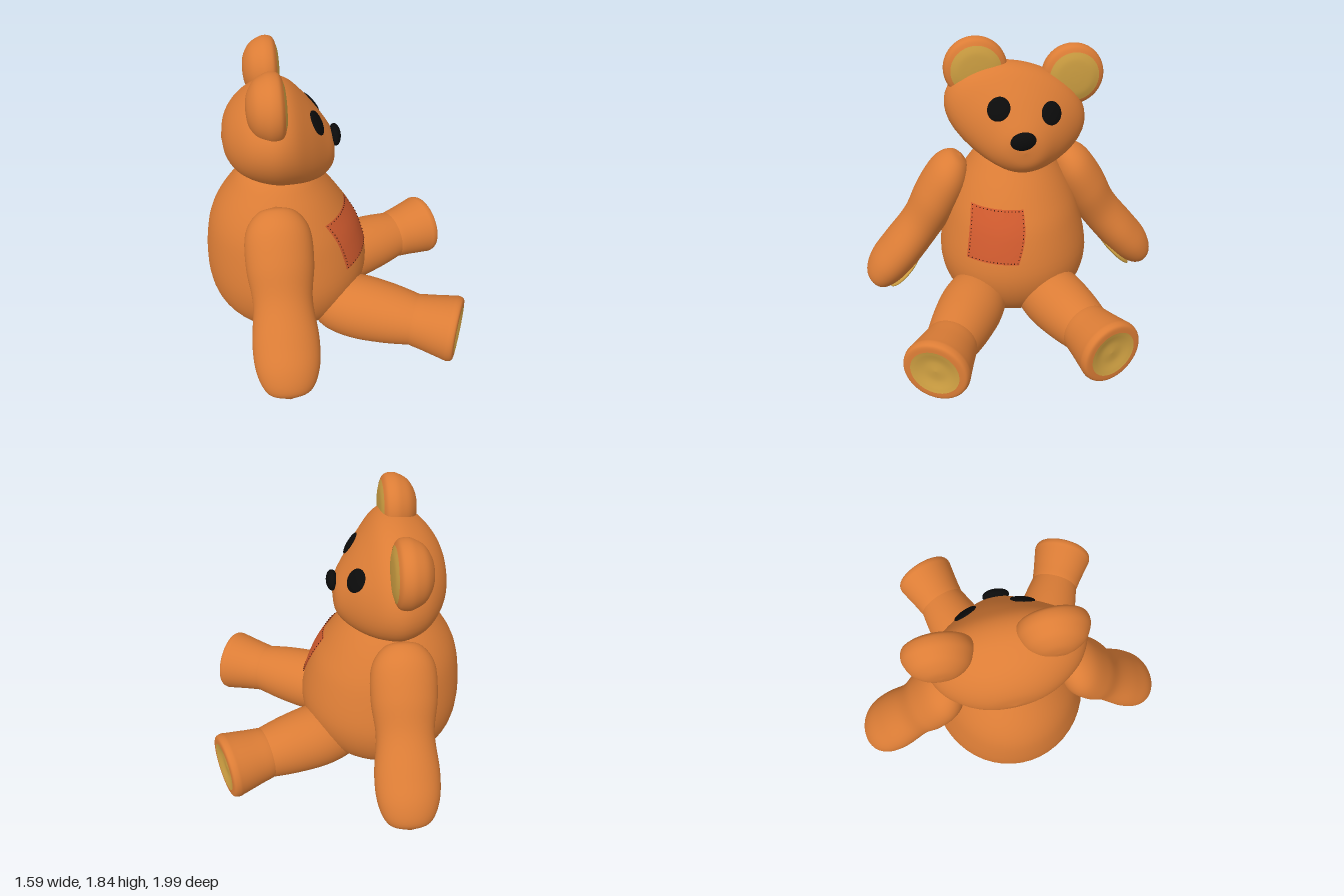
import * as THREE from 'three';

const mat = (color) => new THREE.MeshStandardMaterial({ color, roughness: 0.8, side: THREE.DoubleSide });
const V = (x, y, z) => new THREE.Vector3(x, y, z);

function add(parent, name, geometry, material) {
  const mesh = new THREE.Mesh(geometry, material);
  mesh.name = name;
  parent.add(mesh);
  return mesh;
}

// Smooth skin over elliptical sections [x, y, z, radius along u, radius along v]; u x v points along the path
function loft(rows, u, v, steps = 48, sides = 48) {
  const smooth = (pts) => new THREE.CatmullRomCurve3(pts, false, 'catmullrom', 0.5);
  const centre = smooth(rows.map((r) => V(r[0], r[1], r[2])));
  const radius = smooth(rows.map((r) => V(r[3], r[4], 0)));
  const pos = [], index = [];
  for (let i = 0; i <= steps; i++) {
    const c = centre.getPoint(i / steps), r = radius.getPoint(i / steps);
    for (let j = 0; j < sides; j++) {
      const a = (j / sides) * Math.PI * 2;
      const p = c.clone().addScaledVector(u, Math.max(r.x, 0) * Math.cos(a)).addScaledVector(v, Math.max(r.y, 0) * Math.sin(a));
      pos.push(p.x, p.y, p.z);
      if (i < steps) {
        const k = i * sides + j, n = i * sides + ((j + 1) % sides);
        index.push(k, n, k + sides, n, n + sides, k + sides);
      }
    }
  }
  const g = new THREE.BufferGeometry();
  g.setAttribute('position', new THREE.Float32BufferAttribute(pos, 3));
  g.setIndex(index);
  g.computeVertexNormals();
  return g;
}

// Turned part along +x from [radius, x] pairs
function turned(points, divisions = 28) {
  const curve = new THREE.SplineCurve(points.map((p) => new THREE.Vector2(p[0], p[1])));
  const profile = curve.getPoints(divisions).map((p) => p.setX(Math.max(p.x, 0)));
  return new THREE.LatheGeometry(profile, 48).rotateZ(-Math.PI / 2);
}

// Where a ray from the front meets a mesh
function surface(mesh, y, z) {
  mesh.updateMatrixWorld(true);
  return new THREE.Raycaster(V(3, y, z), V(-1, 0, 0)).intersectObject(mesh)[0];
}

export function createModel() {
  const bear = new THREE.Group();
  bear.name = 'teddyBear';
  const fur = mat(0xdc7d36), pad = mat(0xcfa042), black = mat(0x0b0b0b);
  const cloth = mat(0xcf5a2e), thread = mat(0x4a1c0c);
  const ball = new THREE.SphereGeometry(1, 32, 20);

  // Round body, a little narrower sideways
  const body = add(bear, 'body', loft([
    [-0.34, 0.005, 0, 0, 0], [-0.33, 0.03, 0, 0.18, 0.19], [-0.31, 0.1, 0, 0.34, 0.345],
    [-0.3, 0.25, 0, 0.45, 0.465], [-0.295, 0.45, 0, 0.485, 0.505], [-0.315, 0.7, 0, 0.435, 0.465],
    [-0.335, 0.87, 0, 0.375, 0.395], [-0.34, 1.03, 0, 0.28, 0.29], [-0.34, 1.15, 0, 0.17, 0.18],
    [-0.34, 1.2, 0, 0, 0],
  ], V(0, 0, 1), V(1, 0, 0)), fur);

  // Tilted head tapering into the muzzle
  const t = 0.3, s = Math.sin(t), c = Math.cos(t);
  const head = add(bear, 'head', loft([
    [-0.645, 1.34, -0.03, 0, 0], [-0.625, 1.345, -0.03, 0.11, 0.16], [-0.57, 1.35, -0.03, 0.2, 0.29],
    [-0.48, 1.36, -0.03, 0.265, 0.4], [-0.36, 1.365, -0.03, 0.305, 0.455], [-0.25, 1.35, -0.03, 0.3, 0.425],
    [-0.15, 1.3, -0.03, 0.255, 0.33], [-0.06, 1.25, -0.03, 0.185, 0.21], [0, 1.23, -0.03, 0.1, 0.11],
    [0.015, 1.23, -0.03, 0, 0],
  ], V(0, c, -s), V(0, s, c)), fur);

  // Ears with pale inner faces
  for (const [name, y, z] of [['leftEar', 1.65, 0.215], ['rightEar', 1.575, -0.39]]) {
    const ear = new THREE.Group();
    ear.name = name;
    ear.position.set(-0.39, y, z);
    add(ear, 'earShell', turned([[0, -0.105], [0.08, -0.095], [0.15, -0.055], [0.185, 0], [0.195, 0.04], [0.185, 0.08], [0.155, 0.1]]), fur);
    add(ear, 'earLining', turned([[0.157, 0.098], [0.11, 0.112], [0.05, 0.117], [0, 0.118]]), pad);
    bear.add(ear);
  }

  // Eyes lie on the face, nose on the tip of the muzzle
  for (const [name, y, z] of [['leftEye', 1.475, 0.11], ['rightEye', 1.425, -0.21]]) {
    const eye = add(bear, name, ball, black), hit = surface(head, y, z);
    eye.position.copy(hit.point);
    eye.quaternion.setFromUnitVectors(V(0, 0, 1), hit.face.normal);
    eye.scale.set(0.068, 0.075, 0.016);
  }
  const nose = add(bear, 'nose', ball, black);
  nose.position.set(0.016, 1.308, -0.018);
  nose.rotation.x = 0.12;
  nose.scale.set(0.035, 0.057, 0.078);

  // Arms hang outwards, pads on the inside of the paws
  const armGeometry = loft([
    [0, 1.07, 0.32, 0, 0], [0, 1.045, 0.34, 0.11, 0.08], [0, 0.95, 0.4, 0.185, 0.14],
    [0, 0.78, 0.5, 0.195, 0.155], [0, 0.6, 0.605, 0.172, 0.14], [0, 0.42, 0.745, 0.193, 0.14],
    [0, 0.29, 0.855, 0.18, 0.13], [0, 0.195, 0.93, 0.12, 0.085], [0, 0.165, 0.955, 0, 0],
  ], V(1, 0, 0), V(0, 0.67, 0.74));
  for (const [name, turn] of [['leftArm', 0], ['rightArm', Math.PI]]) {
    const arm = new THREE.Group();
    arm.name = name;
    arm.position.x = -0.365;
    arm.rotation.y = turn;
    add(arm, 'armSkin', armGeometry, fur);
    const paw = add(arm, 'pawPad', ball, pad);
    paw.position.set(0, 0.245, 0.735);
    paw.rotation.x = 0.835;
    paw.scale.set(0.125, 0.025, 0.17);
    bear.add(arm);
  }

  // Legs reach forward and spread, each ending in a flared foot
  for (const [name, x, z, turn] of [['leftLeg', 0.7, 0.613, -0.45], ['rightLeg', 0.718, -0.43, 0.37]]) {
    const leg = new THREE.Group();
    leg.name = name;
    leg.position.set(x, 0.225, z);
    leg.rotation.y = turn;
    add(leg, 'thigh', turned([[0, -0.95], [0.1, -0.92], [0.175, -0.82], [0.203, -0.65], [0.19, -0.45], [0.16, -0.27], [0.14, -0.2]]), fur);
    add(leg, 'foot', turned([[0.13, -0.3], [0.158, -0.285], [0.175, -0.19], [0.197, -0.07], [0.203, -0.03], [0.19, 0], [0.15, 0.005]]), fur);
    add(leg, 'sole', turned([[0.15, 0.005], [0.13, 0], [0.07, -0.014], [0, -0.01]]), pad);
    bear.add(leg);
  }

  // Sewn patch draped over the belly
  const drape = (a, b, lift) => {
    const y = 0.87 - 0.315 * b, z = 0.29 - 0.3 * a + 0.05 * b - 0.02 * Math.sin(b * Math.PI) * a;
    const hit = surface(body, y, z);
    return hit.point.addScaledVector(hit.face.normal, lift);
  };
  const patchGeometry = new THREE.PlaneGeometry(1, 1, 14, 14);
  const uv = patchGeometry.attributes.uv, pp = patchGeometry.attributes.position;
  for (let i = 0; i < pp.count; i++) {
    const p = drape(uv.getX(i), 1 - uv.getY(i), 0.008);
    pp.setXYZ(i, p.x, p.y, p.z);
  }
  patchGeometry.computeVertexNormals();
  add(bear, 'patch', patchGeometry, cloth);

  // Stitches around the patch
  const stitches = new THREE.Group();
  stitches.name = 'stitches';
  const dot = new THREE.SphereGeometry(0.004, 6, 4);
  for (let i = 0; i < 14; i++) {
    const k = 0.03 + (0.94 * i) / 14;
    for (const [a, b] of [[k, 0.03], [0.97, k], [1 - k, 0.97], [0.03, 1 - k]]) {
      add(stitches, 'stitch', dot, thread).position.copy(drape(a, b, 0.009));
    }
  }
  bear.add(stitches);
  return bear;
}
